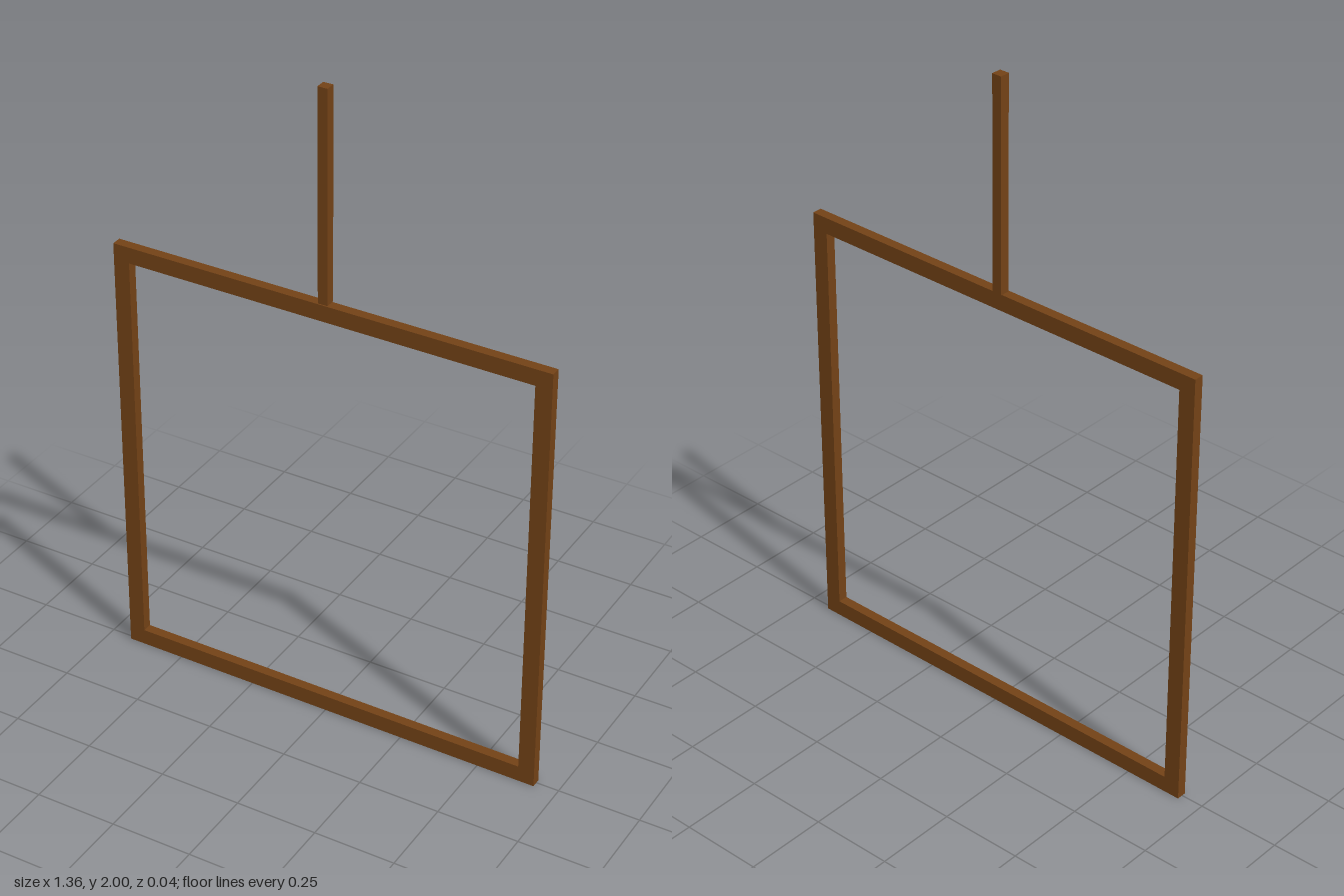
import * as THREE from 'three';

export function createModel() {
  const model = new THREE.Group();
  const wood = new THREE.MeshStandardMaterial({ color: 0x734216 });

  const bar = (name, parent, size, position) => {
    const mesh = new THREE.Mesh(new THREE.BoxGeometry(...size), wood);
    mesh.name = name;
    mesh.position.set(...position);
    parent.add(mesh);
  };

  // Square frame of four bars, turned very slightly about the vertical
  const size = 1.36, width = 0.05, depth = 0.03;
  const edge = (size - width) / 2;
  const frame = new THREE.Group();
  frame.name = 'frame';
  frame.position.y = size / 2;
  frame.rotation.y = -0.0045;
  bar('topRail', frame, [size, width, depth], [0, edge, 0]);
  bar('bottomRail', frame, [size, width, depth], [0, -edge, 0]);
  for (const [name, side] of [['leftStile', 1], ['rightStile', -1]]) {
    bar(name, frame, [width, size - 2 * width, depth], [side * edge, 0, 0]);
  }
  model.add(frame);

  // Thin hanging post rising from the top rail
  bar('post', model, [0.03, 2 - size, 0.03], [-0.01, (2 + size) / 2, -0.004]);

  return model;
}
